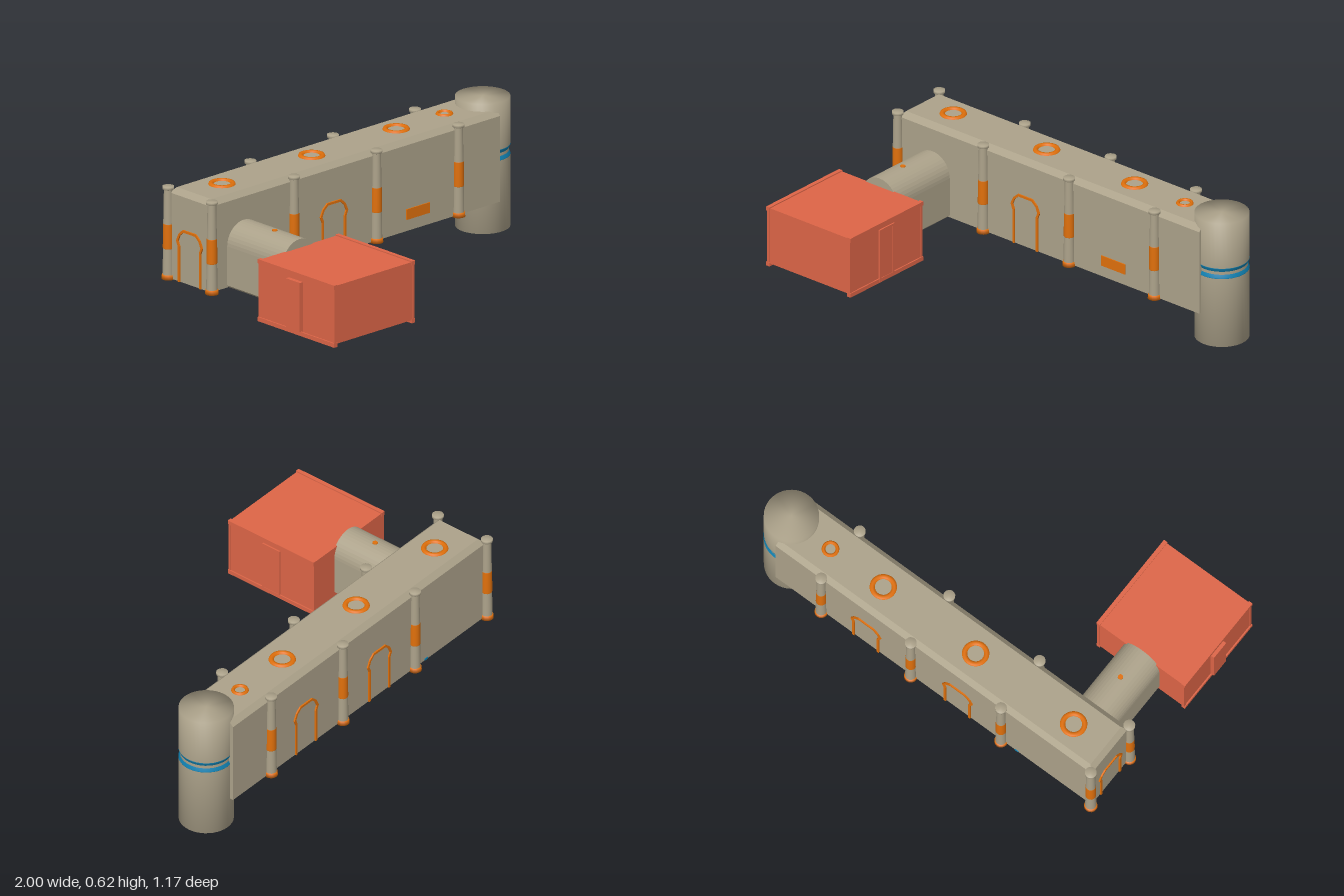
import * as THREE from 'three';

const mat = (color) => new THREE.MeshStandardMaterial({ color });
const tan = mat(0xaca28a), orange = mat(0xe0700c), red = mat(0xdd6547);
const blue = mat(0x1080b0), dark = mat(0x16302e);

export function createModel() {
  const model = new THREE.Group();

  const add = (name, geometry, material, x = 0, y = 0, z = 0, parent = model) => {
    const mesh = new THREE.Mesh(geometry, material);
    mesh.name = name;
    mesh.position.set(x, y, z);
    parent.add(mesh);
    return mesh;
  };
  // box given by its lower and upper limits
  const block = (name, material, x0, x1, y0, y1, z0, z1) =>
    add(name, new THREE.BoxGeometry(x1 - x0, y1 - y0, z1 - z0), material,
      (x0 + x1) / 2, (y0 + y1) / 2, (z0 + z1) / 2);
  const lathe = (points, segments) =>
    new THREE.LatheGeometry(points.map(([r, y]) => new THREE.Vector2(r, y)), segments);

  // long hall with a bevelled roof edge
  const zBack = -0.55, zFront = -0.275, zMid = -0.4125;
  block('hallWalls', tan, -0.94, 0.855, 0.15, 0.56, zBack, zFront);
  const roof = new THREE.BoxGeometry(1.795, 0.025, 0.275);
  const p = roof.attributes.position;
  for (let i = 0; i < p.count; i++) {
    if (p.getY(i) < 0) continue;
    p.setZ(i, p.getZ(i) - Math.sign(p.getZ(i)) * 0.025);
    if (p.getX(i) < 0) p.setX(i, p.getX(i) + 0.025);
  }
  roof.computeVertexNormals();
  add('hallRoof', roof, tan, -0.0425, 0.5725, zMid);

  // banded pillars along both walls
  const sections = [
    ['pillarFoot', orange, [[0, 0.146], [0.031, 0.146], [0.029, 0.168], [0, 0.168]]],
    ['pillarShaft', tan, [[0.026, 0.168], [0.024, 0.292]]],
    ['pillarBand', orange, [[0.024, 0.292], [0.025, 0.295], [0.024, 0.408], [0.023, 0.41]]],
    ['pillarUpperShaft', tan, [[0.023, 0.41], [0.02, 0.572]]],
    ['pillarCap', tan, [[0.02, 0.572], [0.027, 0.575], [0.027, 0.588], [0, 0.588]]],
  ];
  for (const x of [-0.94, -0.43, 0.083, 0.592]) {
    for (const z of [-0.556, -0.27]) {
      const pillar = new THREE.Group();
      pillar.name = 'pillar';
      pillar.position.set(x, 0, z);
      for (const [name, material, points] of sections) add(name, lathe(points, 16), material, 0, 0, 0, pillar);
      model.add(pillar);
    }
  }

  // arched door outlines
  const outer = [[0.075, 0], [0.075, 0.168], [0.086, 0.195], [0.07, 0.23], [0.043, 0.254]];
  const inner = [[0.064, 0], [0.064, 0.171], [0.074, 0.195], [0.062, 0.223], [0.039, 0.243]];
  const mirrored = (half) => [...half, ...half.map(([x, y]) => [-x, y]).reverse()];
  const outline = [...mirrored(outer), ...mirrored(inner).reverse()];
  const archShape = new THREE.Shape(outline.map(([x, y]) => new THREE.Vector2(x, y)));
  const archGeometry = new THREE.ExtrudeGeometry(archShape, { depth: 0.012, bevelEnabled: false });
  const arches = [
    [-0.18, zFront - 0.005, 0], [-0.18, zBack + 0.005, Math.PI],
    [0.34, zBack + 0.005, Math.PI], [-0.935, zMid, -Math.PI / 2],
  ];
  for (const [x, z, turn] of arches) add('doorArch', archGeometry, orange, x, 0.15, z).rotation.y = turn;

  // small wall fittings
  block('wallPanel', orange, 0.272, 0.416, 0.205, 0.255, zFront - 0.005, zFront + 0.005);
  block('floorHatch', tan, 0.27, 0.42, 0.146, 0.152, -0.4, -0.285);
  block('wallLight', blue, -0.525, -0.505, 0.15, 0.16, zBack - 0.003, zBack + 0.01);

  // roof hatch rings
  const ring = (x, r0, r1) => add('roofRing',
    lathe([[r0, 0], [r0 + 0.004, 0.009], [(r0 + r1) / 2, 0.011], [r1 - 0.004, 0.009], [r1, 0]].reverse(), 32),
    orange, x, 0.583, -0.418);
  for (const x of [-0.737, -0.18, 0.345]) ring(x, 0.037, 0.063);
  ring(0.645, 0.022, 0.041);

  // round tower at the end of the hall, with a grooved waist
  const tower = new THREE.Group();
  tower.name = 'tower';
  tower.position.set(0.874, 0, -0.409);
  model.add(tower);
  const towerPart = (name, points, material) => add(name, lathe(points, 40), material, 0, 0, 0, tower);
  towerPart('towerLower', [[0, 0], [0.125, 0], [0.125, 0.342]], tan);
  towerPart('towerLowerBand', [[0.125, 0.342], [0.126, 0.345], [0.119, 0.361]], blue);
  towerPart('towerWaist', [[0.119, 0.361], [0.119, 0.376]], tan);
  towerPart('towerUpperBand', [[0.119, 0.376], [0.126, 0.391], [0.125, 0.394]], blue);
  towerPart('towerUpper', [[0.125, 0.394], [0.125, 0.62], [0, 0.62]], tan);

  // arched corridor from the hall to the cabin
  const corridor = new THREE.Shape();
  corridor.moveTo(-0.09, 0.148);
  corridor.lineTo(0.09, 0.148);
  corridor.lineTo(0.103, 0.16);
  corridor.lineTo(0.103, 0.347);
  corridor.absarc(0, 0.347, 0.103, 0, Math.PI, false);
  corridor.lineTo(-0.103, 0.16);
  add('corridor', new THREE.ExtrudeGeometry(corridor,
    { depth: 0.37, bevelEnabled: false, curveSegments: 10 }), tan, -0.737, 0, -0.28);
  add('corridorKnob', new THREE.CylinderGeometry(0.012, 0.013, 0.012, 16), orange, -0.737, 0.448, -0.071);

  // cabin with corner rails and a dark underside
  block('cabinBody', red, -0.98, -0.49, 0.13, 0.408, 0.083, 0.578);
  block('cabinUnderside', dark, -0.968, -0.502, 0.126, 0.132, 0.095, 0.566);
  for (const x of [-0.977, -0.494]) {
    for (const y of [0.126, 0.403]) {
      block('cabinRail', red, x - 0.01, x + 0.01, y - 0.01, y + 0.01, 0.08, 0.582);
    }
    for (const z of [0.087, 0.575]) {
      block('cabinPost', red, x - 0.006, x + 0.006, 0.12, 0.41, z - 0.006, z + 0.006);
    }
  }

  // cabin doors: a raised panel on one side, a framed door on the other
  block('sideDoor', red, -1, -0.975, 0.14, 0.375, 0.28, 0.37);
  block('framedDoor', red, -0.495, -0.486, 0.12, 0.372, 0.29, 0.372);
  for (const z of [0.284, 0.376]) block('doorJamb', red, -0.495, -0.483, 0.12, 0.38, z - 0.005, z + 0.005);
  block('doorLintel', red, -0.495, -0.483, 0.37, 0.38, 0.28, 0.38);

  return model;
}
